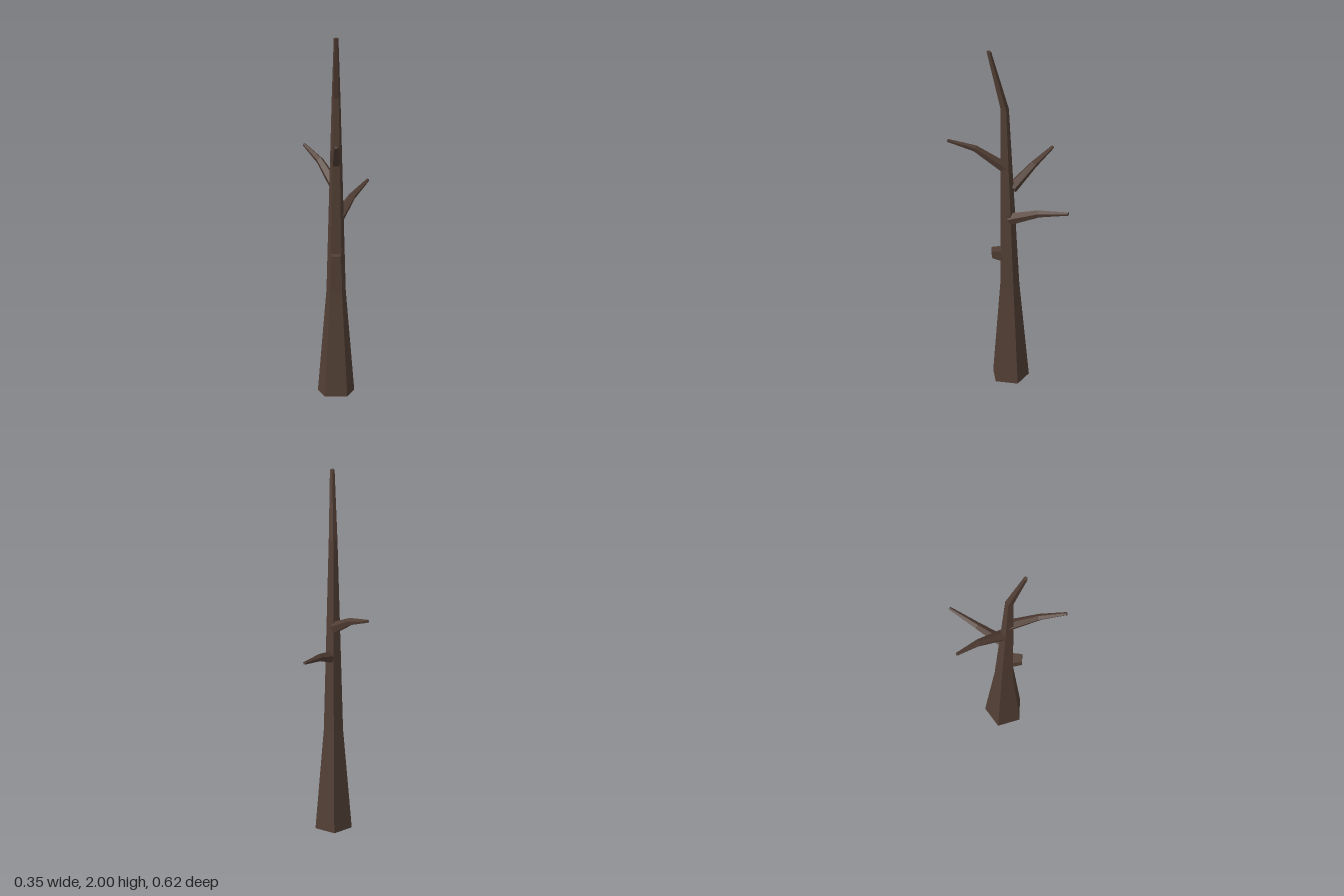
import * as THREE from 'three';

const SIDES = 5;
const bark = new THREE.MeshStandardMaterial({ color: 0x523f35, flatShading: true });

// Five-sided tapering limb through sections [x, y, z, radius]; ridge(d) gives the side its sharp edge points to
function limb(name, sections, ridge) {
  const pts = sections.map(([x, y, z]) => new THREE.Vector3(x, y, z));
  const pos = [], index = [];
  sections.forEach(([, , , r], i) => {
    const d = pts[Math.min(i + 1, pts.length - 1)].clone().sub(pts[Math.max(i - 1, 0)]).normalize();
    const [s, n] = ridge(d);
    for (let k = 0; k < SIDES; k++) {
      const a = Math.PI / 2 + (k / SIDES) * Math.PI * 2;
      const p = pts[i].clone().addScaledVector(s, r * Math.cos(a)).addScaledVector(n, r * Math.sin(a));
      pos.push(p.x, p.y, p.z);
    }
  });
  const last = (sections.length - 1) * SIDES;
  for (let i = 0; i < last; i += SIDES) {
    for (let k = 0; k < SIDES; k++) {
      const a = i + k, b = i + (k + 1) % SIDES;
      index.push(a, b, a + SIDES, b, b + SIDES, a + SIDES);
    }
  }
  // End caps
  for (let k = 1; k < SIDES - 1; k++) {
    index.push(0, k + 1, k, last, last + k, last + k + 1);
  }
  let geo = new THREE.BufferGeometry();
  geo.setAttribute('position', new THREE.Float32BufferAttribute(pos, 3));
  geo.setIndex(index);
  geo = geo.toNonIndexed();
  geo.computeVertexNormals();
  const mesh = new THREE.Mesh(geo, bark);
  mesh.name = name;
  return mesh;
}

// Trunk rings stay level, ridge to the back; branch rings follow the path, ridge upward
const level = () => [new THREE.Vector3(1, 0, 0), new THREE.Vector3(0, 0, -1)];
const along = (d) => {
  const s = new THREE.Vector3(0, 1, 0).cross(d).normalize();
  return [s, d.clone().cross(s)];
};

export function createModel() {
  const tree = new THREE.Group();
  tree.name = 'bareTree';

  // Trunk: flared foot, slim shaft, tip bent forward
  tree.add(limb('trunk', [
    [0, 0, -0.02, 0.1],
    [0, 0.56, -0.017, 0.053],
    [0, 1.64, 0.009, 0.024],
    [0, 2, 0.092, 0.013],
  ], level));

  // Branches: root inside the trunk, knee, tip
  const branches = {
    frontBranch: [[0, 1.275, 0, 0.031], [0, 1.41, 0.165, 0.018], [0, 1.468, 0.308, 0.009]],
    backRightBranch: [[-0.008, 1.145, -0.03, 0.032], [-0.085, 1.235, -0.155, 0.02], [-0.168, 1.286, -0.266, 0.009]],
    backLeftBranch: [[0.015, 0.97, -0.02, 0.033], [0.085, 1.035, -0.165, 0.02], [0.166, 1.073, -0.31, 0.009]],
  };
  for (const [name, sections] of Object.entries(branches)) tree.add(limb(name, sections, along));

  // Broken stub: block with a sloping underside, narrower at its outer end
  const stubGeo = new THREE.BoxGeometry(0.06, 0.07, 0.075);
  stubGeo.translate(0, 0.745, 0.0365);
  const p = stubGeo.attributes.position;
  for (let i = 0; i < p.count; i++) {
    if (p.getZ(i) < 0.04) continue;
    p.setX(i, p.getX(i) * 0.75);
    if (p.getY(i) < 0.745) p.setY(i, 0.737);
  }
  stubGeo.computeVertexNormals();
  const stub = new THREE.Mesh(stubGeo, bark);
  stub.name = 'brokenStub';
  tree.add(stub);

  return tree;
}
